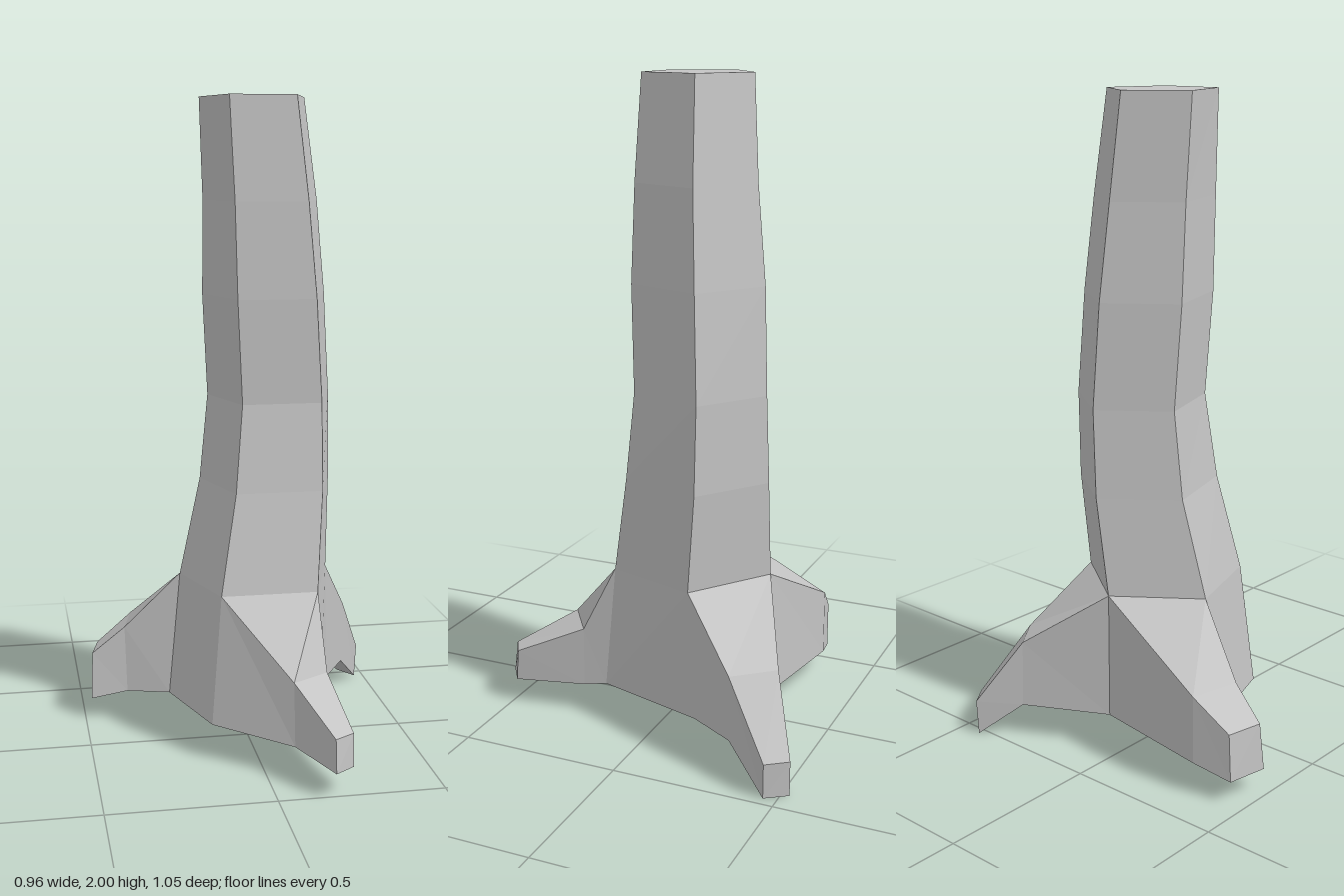
import * as THREE from 'three';

const bark = new THREE.MeshStandardMaterial({ color: 0xc4c4c4, flatShading: true });
bark.name = 'greyBark';

// Collects flat polygons, each listed counter-clockwise as seen from outside
function polygonMesh(name, polygons) {
  const pos = [];
  for (const p of polygons)
    for (let i = 1; i < p.length - 1; i++) pos.push(...p[0], ...p[i], ...p[i + 1]);
  const geo = new THREE.BufferGeometry();
  geo.setAttribute('position', new THREE.Float32BufferAttribute(pos, 3));
  geo.computeVertexNormals();
  const mesh = new THREE.Mesh(geo, bark);
  mesh.name = name;
  return mesh;
}

// Joins successive loops with quads, leaving out the sides rejected by keep
function loft(loops, keep = () => true) {
  const quads = [];
  for (let s = 0; s < loops.length - 1; s++) {
    const a = loops[s], b = loops[s + 1], n = a.length;
    for (let k = 0; k < n; k++) {
      const m = (k + 1) % n;
      if (keep(s, k)) quads.push([a[k], a[m], b[m], b[k]]);
    }
  }
  return quads;
}

// Five-sided ring: left corner, front pair, right corner, back corner
function ring(y, xl, xfl, xfr, xr, xb, zFront, zSide, zBack) {
  return [[xl, y, zSide], [xfl, y, zFront], [xfr, y, zFront], [xr, y, zSide], [xb, y, zBack]];
}

export function createModel() {
  const group = new THREE.Group();
  group.name = 'treeTrunk';

  // Bottom outline of the flared base, then the bent trunk above it
  const base = [[-0.235, 0.11, -0.125], [-0.14, 0.11, 0.17], [0.195, 0.11, 0.175],
    [0.3, 0.11, -0.175], [0.045, 0.11, -0.32]];
  const collar = ring(0.505, -0.195, -0.105, 0.195, 0.285, 0.045, 0.138, -0.145, -0.317);
  const rings = [
    base, collar,
    ring(0.81, -0.125, -0.05, 0.22, 0.297, 0.085, 0.085, -0.17, -0.322),
    ring(1.08, -0.098, -0.025, 0.222, 0.295, 0.097, 0.055, -0.175, -0.316),
    ring(1.4, -0.115, -0.042, 0.2, 0.275, 0.08, 0.072, -0.16, -0.3),
    ring(1.69, -0.115, -0.05, 0.173, 0.245, 0.064, 0.072, -0.142, -0.268),
    ring(2, -0.127, -0.065, 0.137, 0.2, 0.038, 0.065, -0.128, -0.243),
  ];

  // Roots grow out of sides 1, 3 and 4 of the base, so those stay open
  const trunk = loft(rings, (s, k) => s > 0 || k === 0 || k === 2);
  trunk.push(rings[rings.length - 1], [...base].reverse());
  group.add(polygonMesh('trunk', trunk));

  // Each section runs bottom left, bottom right, top right, top left, seen from outside
  const roots = [
    { name: 'frontRoot', side: 1,
      mid: [[0.08, 0.098, 0.355], [0.2, 0.095, 0.25], [0.2, 0.285, 0.25], [0.08, 0.29, 0.335]],
      tip: [[0.165, 0.08, 0.525], [0.227, 0.08, 0.482], [0.227, 0.18, 0.475], [0.165, 0.18, 0.513]] },
    { name: 'backRightRoot', side: 3,
      mid: [[0.385, 0.11, -0.32], [0.3, 0.11, -0.447], [0.3, 0.32, -0.44], [0.39, 0.315, -0.32]],
      tip: [[0.47, 0, -0.46], [0.425, 0, -0.525], [0.43, 0.11, -0.527], [0.477, 0.11, -0.463]] },
    { name: 'backLeftRoot', side: 4,
      mid: [[-0.335, 0.1, -0.37], [-0.365, 0.098, -0.195], [-0.37, 0.31, -0.215], [-0.335, 0.31, -0.37]],
      tip: [[-0.455, 0.07, -0.345], [-0.48, 0.07, -0.22], [-0.475, 0.22, -0.235], [-0.45, 0.22, -0.347]] },
  ];
  for (const { name, side, mid, tip } of roots) {
    const next = (side + 1) % 5;
    const start = [base[side], base[next], collar[next], collar[side]];
    group.add(polygonMesh(name, [...loft([start, mid, tip]), tip]));
  }
  return group;
}
